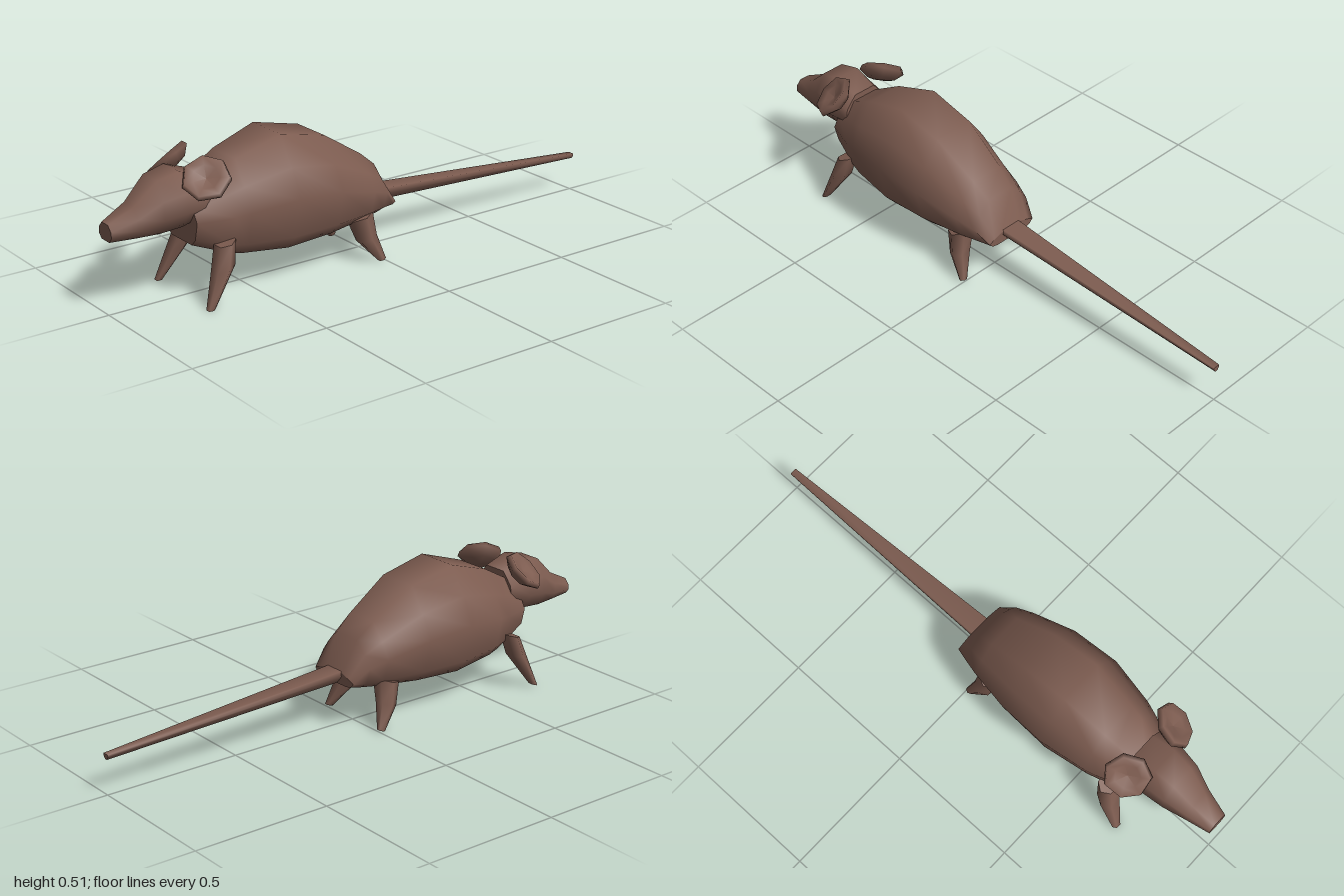
import * as THREE from 'three';

const fur = new THREE.MeshStandardMaterial({ color: 0x7d5c50 });
fur.name = 'brown fur';

// Skin closed rings (arrays of [x, y, z]) into a smooth tube with flat end caps
function loft(name, rings) {
  const n = rings[0].length, last = rings.length - 1;
  const pos = rings.flat(2), index = [];
  for (let i = 0; i < last; i++) {
    for (let j = 0; j < n; j++) {
      const k = (j + 1) % n;
      const a = i * n + j, b = i * n + k, c = a + n, d = b + n;
      index.push(a, c, b, b, c, d);
    }
  }
  const start = pos.length / 3, end = start + n;
  pos.push(...rings[0].flat(), ...rings[last].flat());
  for (let j = 1; j < n - 1; j++) {
    index.push(start, start + j, start + j + 1, end, end + j + 1, end + j);
  }
  const geo = new THREE.BufferGeometry();
  geo.setAttribute('position', new THREE.Float32BufferAttribute(pos, 3));
  geo.setIndex(index);
  geo.computeVertexNormals();
  const mesh = new THREE.Mesh(geo, fur);
  mesh.name = name;
  return mesh;
}

// Half outline [width 0..1, height 0..1] from belly to back, mirrored into a ring
const fullOutline = (half) => [...half, ...half.slice().reverse().map(([w, h]) => [-w, h])];

// Loft along x; each section is [x, bottom, top, half width]
function loftAlongX(name, half, sections) {
  const outline = fullOutline(half);
  return loft(name, sections.map(([x, lo, hi, w]) =>
    outline.map(([u, v]) => [x, lo + (hi - lo) * v, w * u])));
}

// Leg from hip to foot; each section is [x, y, z, x radius, z radius]
function leg(name, side, sections) {
  return loft(name, sections.map(([x, y, z, rx, rz]) =>
    Array.from({ length: 6 }, (_, j) => {
      const a = (j / 6) * Math.PI * 2;
      return [x + rx * Math.sin(a), y + rx * 0.3 * Math.sin(a), side * z + rz * Math.cos(a)];
    })));
}

// Shallow seven-sided cup, tilted forwards, upwards and outwards
function ear(name, side) {
  const profile = [[0, -0.036], [0.05, -0.03], [0.083, -0.004], [0.076, 0.014], [0.045, 0.006], [0, -0.004]]
    .map(([r, y]) => new THREE.Vector2(r, y));
  const mesh = new THREE.Mesh(new THREE.LatheGeometry(profile, 7), fur);
  mesh.name = name;
  mesh.position.set(-0.692, 0.44, side * 0.117);
  mesh.quaternion.setFromUnitVectors(
    new THREE.Vector3(0, 1, 0), new THREE.Vector3(-0.41, 0.72, side * 0.56).normalize());
  return mesh;
}

export function createModel() {
  const group = new THREE.Group();
  group.name = 'rat';

  // Arched body with a narrow back and flat rump
  group.add(loftAlongX('body',
    [[0.62, 0], [0.85, 0.13], [1, 0.49], [0.76, 0.74], [0.42, 1]], [
      [-0.72, 0.2, 0.37, 0.1],
      [-0.6, 0.155, 0.435, 0.147],
      [-0.55, 0.145, 0.462, 0.163],
      [-0.38, 0.13, 0.516, 0.193],
      [-0.2, 0.138, 0.476, 0.185],
      [-0.04, 0.15, 0.375, 0.15],
      [0.025, 0.157, 0.322, 0.13],
      [0.08, 0.167, 0.21, 0.106],
    ]));

  // Head tapering to a blunt snout
  group.add(loftAlongX('head',
    [[0.6, 0], [1, 0.3], [0.95, 0.65], [0.5, 1]], [
      [-1, 0.262, 0.32, 0.04],
      [-0.91, 0.26, 0.364, 0.062],
      [-0.83, 0.262, 0.438, 0.087],
      [-0.75, 0.27, 0.455, 0.098],
      [-0.66, 0.29, 0.425, 0.09],
    ]));

  // Long thin tail
  group.add(loftAlongX('tail', [[0.4, 0], [1, 0.6], [0.95, 1]], [
    [0.0, 0.172, 0.22, 0.042],
    [0.08, 0.168, 0.215, 0.04],
    [1, 0.13, 0.149, 0.013],
  ]));

  // Ears and legs in mirrored pairs
  for (const [label, side] of [['left', 1], ['right', -1]]) {
    group.add(ear(label + 'Ear', side));
    group.add(leg(label + 'FrontLeg', side, [
      [-0.63, 0.21, 0.12, 0.034, 0.042],
      [-0.65, 0.13, 0.138, 0.04, 0.04],
      [-0.715, 0.009, 0.162, 0.015, 0.018],
    ]));
    group.add(leg(label + 'HindLeg', side, [
      [-0.07, 0.17, 0.098, 0.046, 0.045],
      [-0.055, 0.09, 0.118, 0.036, 0.036],
      [-0.01, 0.009, 0.147, 0.014, 0.014],
    ]));
  }
  return group;
}
